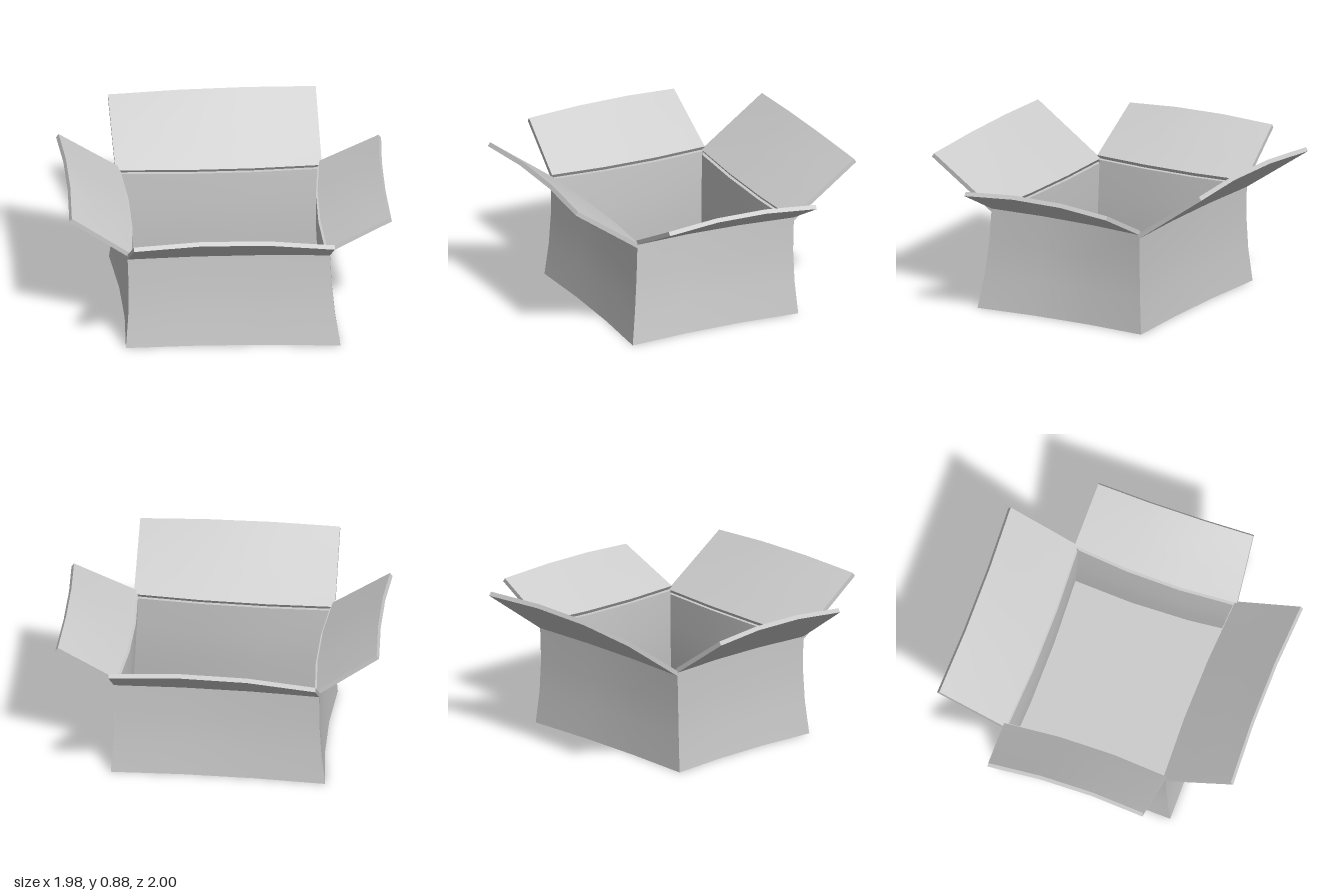
import * as THREE from 'three';

const SEG = 3;
const V = (x, y, z) => new THREE.Vector3(x, y, z);

// Corners of the twisted carton as [x, z], in order around it starting front right
const BASE = [[-0.70, 0.34], [0.45, 0.69], [0.69, -0.33], [-0.475, -0.645]];
const RIM = [[-0.68, 0.31], [0.41, 0.62], [0.67, -0.315], [-0.445, -0.62]];
const INNER = 0.955; // inner wall relative to outer wall

// Per side: rim height, inward bow, and the two outer flap corners
const SIDES = [
  { name: 'front', top: 0.555, bow: 0.02, tip: [V(-0.77, 0.84, 0.70), V(0.315, 0.82, 0.995)] },
  { name: 'left', top: 0.575, bow: 0.028, tip: [V(0.755, 0.745, 0.68), V(0.985, 0.745, -0.21)] },
  { name: 'back', top: 0.555, bow: 0.02, tip: [V(0.76, 0.835, -0.70), V(-0.365, 0.82, -1.0)] },
  { name: 'right', top: 0.575, bow: 0.028, tip: [V(-0.775, 0.81, -0.68), V(-0.99, 0.80, 0.21)] },
];

const arch = (t) => 4 * t * (1 - t);

// Horizontal unit vector pointing inward from the edge a -> b
function inward(a, b) {
  return V(b.z - a.z, 0, a.x - b.x).normalize();
}

// Point on the outer surface of wall i
function wallPoint(i, u, v) {
  const j = (i + 1) % 4, side = SIDES[i];
  const corner = (k) => {
    const pinch = 1 - 0.02 * arch(v);
    return V(
      THREE.MathUtils.lerp(BASE[k][0], RIM[k][0], v) * pinch,
      side.top * v,
      THREE.MathUtils.lerp(BASE[k][1], RIM[k][1], v) * pinch,
    );
  };
  const a = corner(i), b = corner(j);
  return a.clone().lerp(b, u).addScaledVector(inward(a, b), side.bow * arch(u));
}

// Curved board between an outer and an inner surface, each a function of (u, v)
function board(outer, inner) {
  const pos = [], index = [];
  const patch = (f) => {
    const start = pos.length / 3, n = SEG + 1;
    for (let r = 0; r < n; r++)
      for (let c = 0; c < n; c++) pos.push(...f(c / SEG, r / SEG).toArray());
    for (let r = 0; r < SEG; r++)
      for (let c = 0; c < SEG; c++) {
        const p = start + r * n + c;
        index.push(p, p + 1, p + n + 1, p, p + n + 1, p + n);
      }
  };
  const mix = (u, v, t) => outer(u, v).lerp(inner(u, v), t);
  patch((s, t) => outer(s, t));
  patch((s, t) => inner(1 - s, t));
  patch((s, t) => mix(s, 1, t)); // upper edge
  patch((s, t) => mix(1 - s, 0, t)); // lower edge
  patch((s, t) => mix(1, 1 - s, 1 - t).clone() && mix(1, t, s)); // end edge
  patch((s, t) => mix(0, t, 1 - s)); // start edge
  const g = new THREE.BufferGeometry();
  g.setAttribute('position', new THREE.Float32BufferAttribute(pos, 3));
  g.setIndex(index);
  g.computeVertexNormals();
  return g;
}

export function createModel() {
  const group = new THREE.Group();
  const material = new THREE.MeshStandardMaterial({ color: 0xcccccc, side: THREE.DoubleSide });
  const add = (name, geometry) => {
    const mesh = new THREE.Mesh(geometry, material);
    mesh.name = name;
    group.add(mesh);
  };

  SIDES.forEach((side, i) => {
    // Wall, bowed inward and pinched at mid height
    const outer = (u, v) => wallPoint(i, u, v);
    const inner = (u, v) => outer(u, v).multiply(V(INNER, 1, INNER));
    add(side.name + 'Wall', board(outer, inner));

    // Open flap, hinged on the rim and arched along its free edge
    const [tipA, tipB] = side.tip;
    const inDir = inward(tipA, tipB);
    const under = (u, v) => {
      const tip = tipA.clone().lerp(tipB, u).addScaledVector(inDir, 0.018 * arch(u));
      tip.y += 0.024 * arch(u);
      return wallPoint(i, u, 1).lerp(tip, v);
    };
    const above = (u, v) => under(u, v).addScaledVector(inDir, 0.014).add(V(0, 0.021, 0));
    add(side.name + 'Flap', board(under, above));
  });

  // Floor, filling the space between the walls
  const outline = [];
  for (let i = 0; i < 4; i++)
    for (let s = 0; s < SEG; s++) {
      const p = wallPoint(i, s / SEG, 0);
      outline.push(new THREE.Vector2(p.x * INNER, -p.z * INNER));
    }
  const floor = new THREE.ExtrudeGeometry(new THREE.Shape(outline), { depth: 0.02, bevelEnabled: false });
  floor.rotateX(-Math.PI / 2);
  add('floor', floor);

  return group;
}
